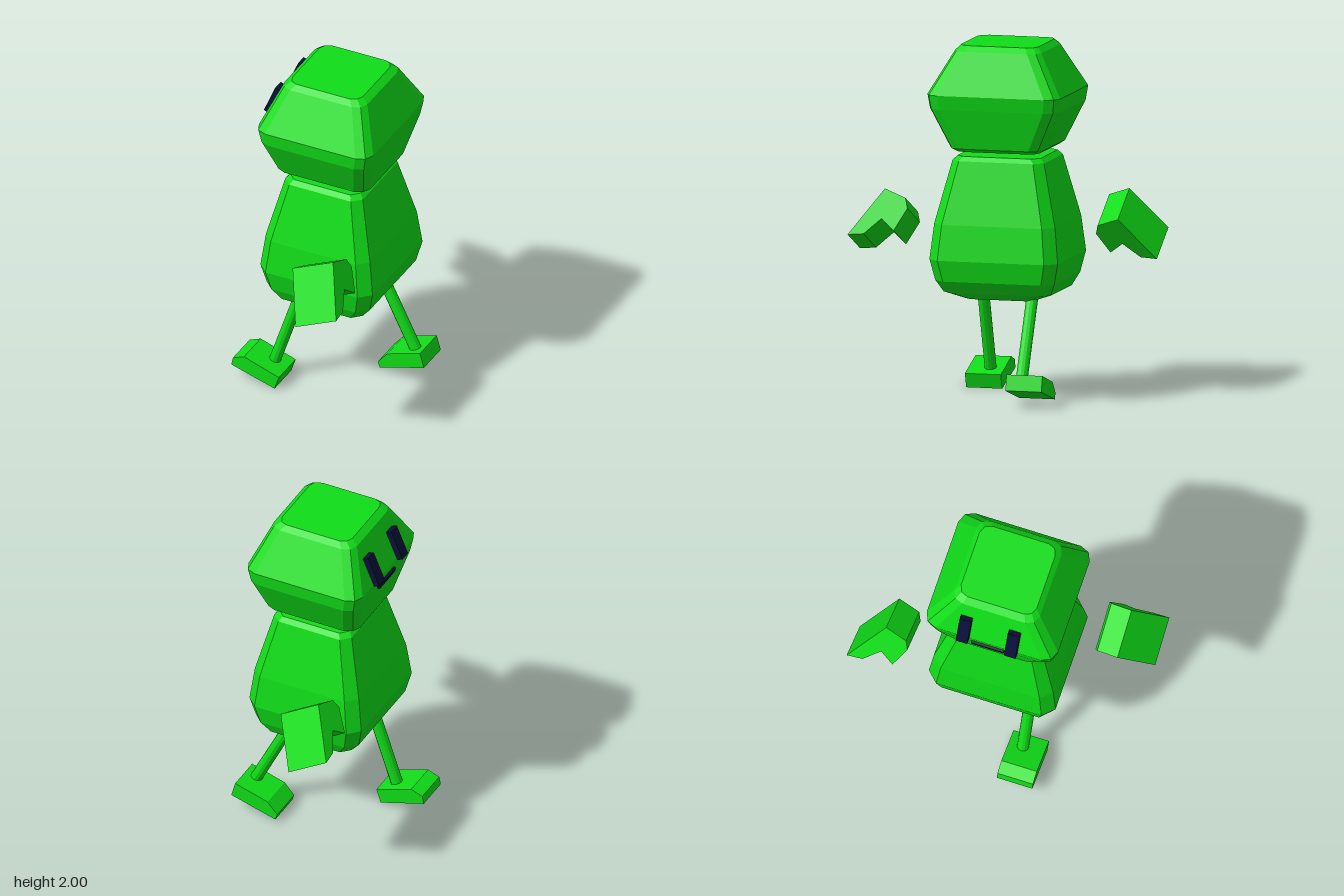
import * as THREE from 'three';

const green = new THREE.MeshStandardMaterial({ color: 0x10dd18, flatShading: true });
const navy = new THREE.MeshStandardMaterial({ color: 0x0a0f38, flatShading: true });

function addMesh(parent, name, geometry, material = green) {
  const mesh = new THREE.Mesh(geometry, material);
  mesh.name = name;
  parent.add(mesh);
  return mesh;
}

// Stack of rectangles with cut corners; rings are [y, halfX, halfZ, cornerSize], bottom to top.
// corner lists the [insetX, insetZ] points of one corner as fractions of cornerSize.
function loft(rings, corner) {
  const positions = [], index = [], n = corner.length * 4;
  const reversed = [...corner].reverse();
  for (const [y, hx, hz, c] of rings) {
    for (const [sx, sz] of [[1, 1], [-1, 1], [-1, -1], [1, -1]]) {
      for (const [ix, iz] of sx * sz > 0 ? corner : reversed) {
        positions.push(sx * (hx - ix * c), y, sz * (hz - iz * c));
      }
    }
  }
  for (let r = 0; r < rings.length - 1; r++) {
    for (let i = 0; i < n; i++) {
      const a = r * n + i, b = r * n + (i + 1) % n;
      index.push(a, a + n, b, b, a + n, b + n);
    }
  }
  const top = (rings.length - 1) * n;
  for (let i = 1; i < n - 1; i++) {
    index.push(0, i, i + 1, top, top + i + 1, top + i);
  }
  const geometry = new THREE.BufferGeometry();
  geometry.setAttribute('position', new THREE.Float32BufferAttribute(positions, 3));
  geometry.setIndex(index);
  geometry.computeVertexNormals();
  return geometry;
}

// Flat outline pushed out along +z
function prism(points, depth) {
  const shape = new THREE.Shape(points.map(([x, y]) => new THREE.Vector2(x, y)));
  return new THREE.ExtrudeGeometry(shape, { depth, bevelEnabled: false });
}

// Cylinder between two points
function rod(parent, name, from, to, radius) {
  const a = new THREE.Vector3(...from), b = new THREE.Vector3(...to);
  const dir = b.clone().sub(a);
  const mesh = addMesh(parent, name, new THREE.CylinderGeometry(radius, radius, dir.length(), 12));
  mesh.position.copy(a).add(b).multiplyScalar(0.5);
  mesh.quaternion.setFromUnitVectors(new THREE.Vector3(0, 1, 0), dir.normalize());
}

export function createModel() {
  const model = new THREE.Group();
  model.name = 'walkingFigure';

  // Pear-shaped body
  const body = addMesh(model, 'body', loft([
    [0.57, 0.2, 0.2, 0.04],
    [0.61, 0.265, 0.31, 0.05],
    [0.68, 0.322, 0.345, 0.06],
    [0.8, 0.35, 0.372, 0.063],
    [1.0, 0.325, 0.35, 0.06],
    [1.35, 0.242, 0.265, 0.05],
    [1.375, 0.22, 0.24, 0.045],
  ], [[0, 1], [1, 0]]));
  body.position.x = 0.032;

  // Head, widest at the cheeks
  const head = addMesh(model, 'head', loft([
    [1.405, 0.252, 0.24, 0.06],
    [1.425, 0.285, 0.27, 0.07],
    [1.65, 0.342, 0.375, 0.075],
    [1.73, 0.357, 0.385, 0.075],
    [1.97, 0.258, 0.25, 0.065],
    [2.0, 0.22, 0.222, 0.055],
  ], [[0, 1], [0.3, 0.3], [1, 0]]));
  head.position.x = 0.03;

  // Eyes and mouth on the -x face
  for (const [name, z] of [['leftEye', 0.138], ['rightEye', -0.145]]) {
    const eye = addMesh(model, name, new THREE.BoxGeometry(0.035, 0.182, 0.068), navy);
    eye.position.set(-0.314, 1.811, z);
    eye.rotation.z = -0.4;
  }
  const mouth = addMesh(model, 'mouth', new THREE.BoxGeometry(0.02, 0.028, 0.19), navy);
  mouth.position.set(-0.319, 1.665, -0.005);
  mouth.rotation.z = 0.18;

  // Detached bent arms: [distance out from the body, height]
  const armProfile = [[0.82, 0], [0.635, 0.275], [0.51, 0.225], [0.492, 0.165],
    [0.557, 0.033], [0.635, 0.1], [0.728, 0.008]];
  for (const [name, side, x, y, tilt] of [
    ['leftArm', 1, 0.16, 0.82, 0.42],
    ['rightArm', -1, -0.36, 0.93, -0.55],
  ]) {
    const geometry = prism(armProfile.map(([out, h]) => [-side * out, h]), 0.277);
    geometry.rotateY(Math.PI / 2);
    const arm = addMesh(model, name, geometry);
    arm.position.set(x, y, 0);
    arm.rotation.z = tilt;
  }

  // Striding legs
  rod(model, 'leftLeg', [-0.11, 0.64, 0.19], [-0.286, 0.11, 0.19], 0.034);
  rod(model, 'rightLeg', [0.165, 0.64, -0.188], [0.405, 0.155, -0.188], 0.034);

  // Tilted feet with bevelled toes
  const leftFoot = addMesh(model, 'leftFoot', prism([[-0.497, 0.085], [-0.487, 0.132],
    [-0.418, 0.159], [-0.2, 0.085], [-0.227, 0.003]], 0.208));
  leftFoot.position.z = 0.107;
  const rightFoot = addMesh(model, 'rightFoot', prism([[0.2, 0.058], [0.212, 0.022],
    [0.488, 0.1], [0.463, 0.188], [0.26, 0.127]], 0.208));
  rightFoot.position.z = -0.325;

  return model;
}
